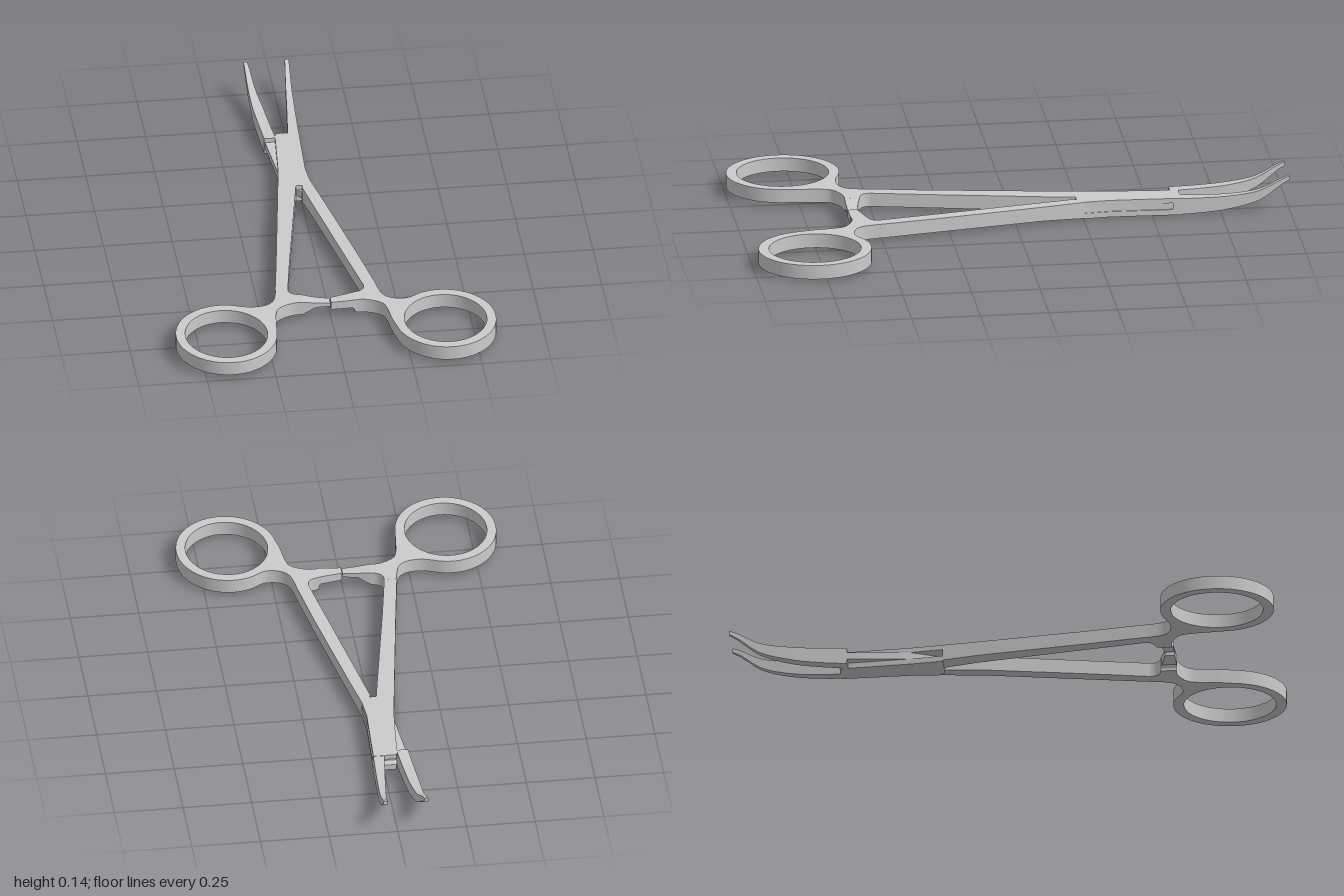
import * as THREE from 'three';
import { toCreasedNormals } from 'three/addons/utils/BufferGeometryUtils.js';

const steel = new THREE.MeshStandardMaterial({ color: 0xcccccc });

function mesh(name, geometry, crease = 0.5) {
  const m = new THREE.Mesh(toCreasedNormals(geometry, crease), steel);
  m.name = name;
  return m;
}

// Four-sided bar through stations [z, xMin, xMax, yMin, yMax], listed with falling z
function barGeometry(stations) {
  const loops = stations.map(([z, a, b, lo, hi]) => [[a, lo, z], [b, lo, z], [b, hi, z], [a, hi, z]]);
  const pos = [];
  const quad = (a, b, c, d) => [a, b, c, a, c, d].forEach((p) => pos.push(...p));
  for (let i = 0; i < loops.length - 1; i++) {
    const p = loops[i], q = loops[i + 1];
    for (let k = 0; k < 4; k++) {
      const n = (k + 1) % 4;
      quad(p[k], q[k], q[n], p[n]);
    }
  }
  const first = loops[0], last = loops[loops.length - 1];
  quad(...first);
  quad(last[3], last[2], last[1], last[0]);
  const g = new THREE.BufferGeometry();
  g.setAttribute('position', new THREE.Float32BufferAttribute(pos, 3));
  return g;
}

// Finger ring with its web, drawn in plan; side -1 is the -x handle, +1 its mirror
function handleGeometry(side, yMin, yMax) {
  const place = ([x, z]) => (side < 0 ? new THREE.Vector2(x, -z) : new THREE.Vector2(-x - 0.008, -(z - 0.016)));
  const web = ([x, z]) => (side < 0 ? new THREE.Vector2(x, -z) : new THREE.Vector2(-x - 0.012, -z));
  const ellipse = (rx, rz, t) => place([-0.404 + rx * Math.cos(t), 0.79 + rz * Math.sin(t)]);
  const smooth = (pts, n) => new THREE.SplineCurve(pts).getPoints(n);

  const arc = [];
  for (let i = 0; i <= 56; i++) arc.push(ellipse(0.183, 0.205, 0.15 + (4.97 * i) / 56));
  const outer = smooth([arc[56], ...[[-0.29, 0.612], [-0.24, 0.607], [-0.207, 0.58], [-0.193, 0.53], [-0.189, 0.5]].map(web)], 20);
  const inner = smooth([[-0.144, 0.5], [-0.141, 0.525], [-0.125, 0.541], [-0.1, 0.548]].map(web), 10);
  const lower = smooth([...[[-0.1, 0.603], [-0.14, 0.606], [-0.19, 0.632], [-0.207, 0.67], [-0.216, 0.75]].map(web), arc[0]], 16);
  const shape = new THREE.Shape([...arc, ...outer.slice(1), ...inner, ...lower.slice(0, -1)]);

  const hole = [];
  for (let i = 0; i < 56; i++) hole.push(ellipse(0.149, 0.167, (-2 * Math.PI * i) / 56));
  shape.holes.push(new THREE.Path(hole));

  const g = new THREE.ExtrudeGeometry(shape, { depth: yMax - yMin, bevelEnabled: false });
  return g.rotateX(-Math.PI / 2).translate(0, yMin, 0);
}

// Upward-curving jaw, tapering from a root span to a tip span in x
function jawGeometry(rootZ, root, mid, tip) {
  const stations = [[rootZ, ...root, 0, 0.063]];
  const bottom = new THREE.SplineCurve([[0.6, 0.001], [0.7, 0.006], [0.8, 0.019], [0.9, 0.05], [1, 0.122]].map((p) => new THREE.Vector2(...p)));
  const top = new THREE.SplineCurve([[0.6, 0.063], [0.7, 0.063], [0.8, 0.068], [0.9, 0.086], [1, 0.137]].map((p) => new THREE.Vector2(...p)));
  const n = 16;
  for (let i = 1; i <= n; i++) {
    const t = i / n;
    const span = [0, 1].map((k) => (t < 0.5
      ? THREE.MathUtils.lerp(root[k], mid[k], t * 2)
      : THREE.MathUtils.lerp(mid[k], tip[k], t * 2 - 1)));
    stations.push([THREE.MathUtils.lerp(rootZ, -1, t), ...span, bottom.getPoint(t).y, top.getPoint(t).y]);
  }
  return barGeometry(stations);
}

export function createModel() {
  const model = new THREE.Group();
  model.name = 'lockingForceps';

  // Outer half: right handle, shank, slotted box joint, opposite jaw
  const outerHalf = new THREE.Group();
  outerHalf.name = 'outerHalf';
  outerHalf.add(mesh('rightFingerRing', handleGeometry(-1, 0.018, 0.069)));
  outerHalf.add(mesh('rightShank', barGeometry([
    [0.505, -0.19, -0.144, 0.018, 0.069],
    [0.3, -0.16, -0.111, 0.015, 0.066],
    [-0.1, -0.104, -0.042, 0.01, 0.064],
    [-0.23, -0.086, -0.02, 0.004, 0.064],
  ])));
  const jointPlan = [
    [-0.228, -0.086, 0.02], [-0.255, -0.082, 0.036], [-0.345, -0.07, 0.029],
    [-0.59, -0.05, 0.038], [-0.605, -0.046, 0.039],
  ];
  const cheek = (name, lo, hi) => mesh(name, barGeometry(jointPlan.map((s) => [...s, lo, hi])));
  outerHalf.add(cheek('upperJointCheek', 0.046, 0.064), cheek('lowerJointCheek', 0, 0.021));
  outerHalf.add(mesh('leftJaw', jawGeometry(-0.575, [-0.005, 0.0375], [0.018, 0.046], [0.038, 0.053])));

  // Inner half: left handle, shank, tongue through the joint, opposite jaw
  const innerHalf = new THREE.Group();
  innerHalf.name = 'innerHalf';
  innerHalf.add(mesh('leftFingerRing', handleGeometry(1, 0.013, 0.066)));
  innerHalf.add(mesh('leftShank', barGeometry([
    [0.505, 0.132, 0.178, 0.013, 0.066],
    [0.3, 0.094, 0.143, 0.013, 0.065],
    [-0.1, 0.021, 0.068, 0.01, 0.064],
    [-0.215, 0, 0.045, 0.004, 0.064],
    [-0.255, 0.012, 0.037, 0.002, 0.064],
  ])));
  innerHalf.add(mesh('jointTongue', barGeometry([
    [-0.21, 0, 0.044, 0.0205, 0.0465],
    [-0.255, -0.03, 0.034, 0.0205, 0.0465],
    [-0.345, -0.068, 0.026, 0.0205, 0.0465],
    [-0.575, -0.088, 0.032, 0.0205, 0.0465],
  ])));
  innerHalf.add(mesh('rightJaw', jawGeometry(-0.575, [-0.091, -0.049], [-0.106, -0.068], [-0.112, -0.098])));

  // Ratchet arms: bars laid along x, stations [x, -zMax, -zMin, yMin, yMax]
  const ratchet = (name, stations) => mesh(name, barGeometry(stations).rotateY(Math.PI / 2));
  outerHalf.add(ratchet('rightRatchetArm', [
    [-0.001, -0.604, -0.57, 0.045, 0.059],
    [-0.055, -0.604, -0.56, 0.044, 0.063],
    [-0.101, -0.603, -0.548, 0.018, 0.069],
  ]));
  innerHalf.add(ratchet('leftRatchetArm', [
    [0.093, -0.604, -0.548, 0.013, 0.066],
    [0.082, -0.606, -0.551, 0.034, 0.066],
    [0.001, -0.605, -0.57, 0.032, 0.062],
  ]));

  model.add(outerHalf, innerHalf);
  return model;
}
